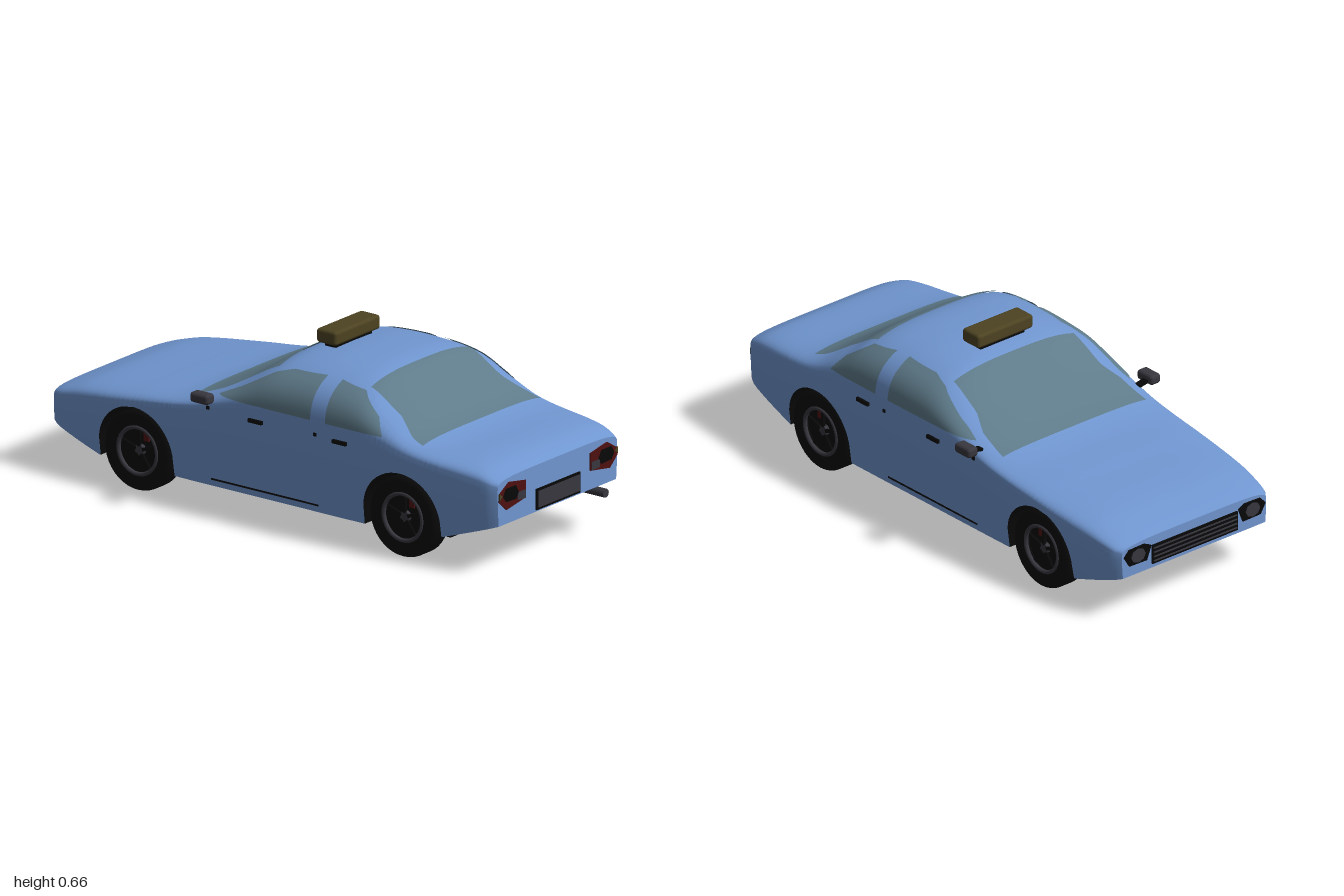
import * as THREE from 'three';
import { RoundedBoxGeometry } from 'three/addons/geometries/RoundedBoxGeometry.js';

const mat = (name, color, side = THREE.DoubleSide) => {
  const m = new THREE.MeshStandardMaterial({ color, side });
  m.name = name;
  return m;
};
const M = {
  paint: mat('blue paint', 0x7096d0),
  glass: mat('window glass', 0x5f7b8a),
  black: mat('black rubber', 0x080808),
  grey: mat('dark grey', 0x38373f),
  red: mat('dark red', 0x4d0f10),
  olive: mat('olive yellow', 0x4d4322),
};

// smooth interpolation through [position, value] points
function curve(points, smooth = true) {
  const n = points.length;
  const slope = points.map((p, i) => {
    const a = points[Math.max(i - 1, 0)], b = points[Math.min(i + 1, n - 1)];
    return (b[1] - a[1]) / (b[0] - a[0]);
  });
  return (z) => {
    if (z <= points[0][0]) return points[0][1];
    if (z >= points[n - 1][0]) return points[n - 1][1];
    let i = 0;
    while (z > points[i + 1][0]) i++;
    const [z0, a] = points[i], [z1, b] = points[i + 1], h = z1 - z0, t = (z - z0) / h;
    if (!smooth) return a + (b - a) * t;
    const t2 = t * t, t3 = t2 * t;
    return a * (2 * t3 - 3 * t2 + 1) + b * (3 * t2 - 2 * t3) + h * (slope[i] * (t3 - 2 * t2 + t) + slope[i + 1] * (t3 - t2));
  };
}

// body rules along z: the nose is at -z, the tail at +z
const roofY = curve([[-0.99, 0.293], [-0.94, 0.312], [-0.84, 0.34], [-0.6, 0.37], [-0.37, 0.402], [-0.2, 0.475],
  [-0.05, 0.568], [0.04, 0.59], [0.2, 0.597], [0.37, 0.576], [0.48, 0.503], [0.58, 0.44], [0.67, 0.413], [0.89, 0.388], [0.963, 0.355]]);
const beltY = curve([[-0.99, 0.25], [-0.6, 0.31], [-0.36, 0.35], [-0.15, 0.39], [0.4, 0.39], [0.63, 0.355], [0.963, 0.31]]);
const halfW = curve([[-0.99, 0.33], [-0.96, 0.349], [-0.8, 0.371], [-0.55, 0.382], [0, 0.384], [0.5, 0.382], [0.75, 0.37], [0.93, 0.35], [0.963, 0.335]]);
const floorY = curve([[-0.99, 0.17], [-0.77, 0.095], [-0.4, 0.088], [0.4, 0.088], [0.73, 0.105], [0.963, 0.185]], false);
const power = curve([[-0.99, 4.5], [-0.45, 4], [-0.2, 3], [0.45, 3], [0.7, 4], [0.963, 4.5]]);
const WHEELS = [0.565, -0.6], ARCH = 0.165;

function sillY(z) {
  let y = floorY(z);
  for (const c of WHEELS) {
    const d = Math.abs(z - c);
    if (d <= ARCH) y = Math.max(y, 0.145 + Math.sqrt(Math.max(0, ARCH * ARCH - d * d)));
  }
  return y;
}
function sideX(z, y) {
  const b = beltY(z), w = halfW(z);
  if (y <= b) return w * (1 - 0.06 * ((b - y) / (b - 0.08)) ** 2);
  const u = Math.min(1, (y - b) / (roofY(z) - b)), m = power(z);
  return w * (1 - u ** m) ** (1 / m);
}
function topY(z, x) {
  const m = power(z), b = beltY(z);
  return b + (roofY(z) - b) * (1 - Math.min(1, Math.abs(x) / halfW(z)) ** m) ** (1 / m);
}

// half section from sill to roof centre
function halfSection(z) {
  const pts = [], s = sillY(z), b = beltY(z), r = roofY(z), w = halfW(z), e = 2 / power(z);
  for (let i = 0; i < 8; i++) {
    const y = s + (b - s) * i / 8;
    pts.push([sideX(z, y), y]);
  }
  for (let i = 0; i <= 14; i++) {
    const a = Math.PI / 2 * i / 14;
    pts.push([w * Math.max(0, Math.cos(a)) ** e, b + (r - b) * Math.sin(a) ** e]);
  }
  return pts;
}

// surface from rows of [x, y, z] points
function sheet(rows) {
  const n = rows[0].length, index = [];
  for (let i = 0; i < rows.length - 1; i++) for (let j = 0; j < n - 1; j++) {
    const a = i * n + j, b = a + n;
    index.push(a, b, a + 1, b, b + 1, a + 1);
  }
  const g = new THREE.BufferGeometry();
  g.setAttribute('position', new THREE.Float32BufferAttribute(rows.flat(2), 3));
  g.setIndex(index);
  g.computeVertexNormals();
  return g;
}
const steps = (a, b, n, f) => Array.from({ length: n + 1 }, (_, i) => f(a + (b - a) * i / n));

export function createModel() {
  const car = new THREE.Group();
  car.name = 'car';
  const add = (name, geo, material, x = 0, y = 0, z = 0, parent = car) => {
    const m = new THREE.Mesh(geo, material);
    m.name = name;
    m.position.set(x, y, z);
    parent.add(m);
    return m;
  };
  const box = (name, w, h, d, material, x, y, z, parent) => add(name, new THREE.BoxGeometry(w, h, d), material, x, y, z, parent);

  // body shell with wheel arches
  const zs = steps(-0.99, 0.963, 90, (z) => z);
  for (const c of WHEELS) {
    zs.push(c - ARCH - 0.0005, c + ARCH + 0.0005);
    steps(0, Math.PI, 24, (a) => zs.push(c + ARCH * Math.cos(a)));
  }
  zs.sort((a, b) => a - b);
  const shell = zs.map((z) => {
    const h = halfSection(z);
    return [...h.map(([x, y]) => [x, y, z]), ...h.slice(0, -1).reverse().map(([x, y]) => [-x, y, z])];
  });
  add('bodyShell', sheet(shell), M.paint);
  for (const [name, z] of [['nosePanel', -0.99], ['tailPanel', 0.963]])
    add(name, sheet(halfSection(z).map(([x, y]) => [[x, y, z], [-x, y, z]])), M.paint);

  // black underside and floor
  add('underside', sheet(zs.map((z) => { const y = sillY(z), x = sideX(z, y); return [[x, y, z], [-x, y, z]]; })), M.black);
  box('floor', 0.5, 0.2, 1.42, M.black, 0, 0.168, -0.02);

  // windscreen and rear window
  const screen = (name, z0, z1, widths) => {
    const w = curve(widths, false);
    add(name, sheet(steps(z0, z1, 24, (z) => steps(-w(z), w(z), 24, (x) => [x, topY(z, x) + 0.005, z]))), M.glass);
  };
  screen('windscreen', -0.36, -0.04, [[-0.36, 0.328], [-0.24, 0.315], [-0.17, 0.282], [-0.04, 0.275]]);
  screen('rearWindow', 0.36, 0.63, [[0.36, 0.275], [0.5, 0.28], [0.58, 0.322], [0.63, 0.33]]);

  // side windows, handles, locks and sill lines
  const sideWindow = (name, s, z0, z1, tops) => {
    const t = curve(tops, false);
    add(name, sheet(steps(z0, z1, 24, (z) => steps(0.425, t(z), 10, (y) => [s * (sideX(z, y) + 0.004), y + 0.002, z]))), M.glass);
  };
  for (const s of [1, -1]) {
    const tag = s > 0 ? 'left' : 'right';
    sideWindow(tag + 'FrontWindow', s, -0.245, 0.18, [[-0.245, 0.426], [-0.15, 0.47], [-0.03, 0.538], [0.035, 0.556], [0.18, 0.563]]);
    sideWindow(tag + 'RearWindow', s, 0.245, 0.49, [[0.245, 0.561], [0.355, 0.547], [0.45, 0.48], [0.49, 0.426]]);
    for (const z of [0.31, -0.06]) box(tag + 'DoorHandle', 0.016, 0.013, 0.06, M.black, s * 0.386, 0.372, z);
    for (const z of [0.2, -0.27]) box(tag + 'DoorLock', 0.01, 0.012, 0.012, M.black, s * 0.383, 0.378, z);
    box(tag + 'SillLine', 0.006, 0.006, 0.47, M.black, s * 0.365, 0.114, -0.035);
    // door mirror
    add(tag + 'Mirror', new RoundedBoxGeometry(0.046, 0.037, 0.08, 3, 0.012), M.grey, s * 0.418, 0.424, -0.27);
    const arm = box(tag + 'MirrorArm', 0.045, 0.01, 0.025, M.black, s * 0.382, 0.416, -0.28);
    arm.rotation.z = s * 0.2;
  }

  // wheels
  const tyre = new THREE.LatheGeometry([[0.09, -0.04], [0.13, -0.045], [0.141, -0.04], [0.145, -0.03], [0.145, 0.03],
    [0.141, 0.04], [0.13, 0.045], [0.09, 0.04]].map(([r, y]) => new THREE.Vector2(r, y)), 40).rotateZ(-Math.PI / 2);
  const disc = (r, d, seg = 32) => new THREE.CylinderGeometry(r, r, d, seg).rotateZ(Math.PI / 2);
  for (const s of [1, -1]) for (const z of WHEELS) {
    const wheel = new THREE.Group();
    wheel.name = (z < 0 ? 'front' : 'rear') + (s > 0 ? 'Left' : 'Right') + 'Wheel';
    wheel.position.set(s * 0.32, 0.145, z);
    car.add(wheel);
    add('tyre', tyre, M.black, 0, 0, 0, wheel);
    add('brakeDisc', disc(0.092, 0.03), M.black, 0, 0, 0, wheel);
    add('rim', new THREE.TorusGeometry(0.085, 0.008, 8, 36).rotateY(Math.PI / 2), M.grey, s * 0.037, 0, 0, wheel);
    add('hub', disc(0.02, 0.02, 16), M.grey, s * 0.02, 0, 0, wheel);
    box('brakeCaliper', 0.01, 0.03, 0.022, M.red, s * 0.017, 0.05, 0.025, wheel);
    for (let i = 0; i < 5; i++) {
      const a = i * Math.PI * 2 / 5;
      const spoke = box('spoke', 0.01, 0.07, 0.012, M.black, s * 0.028, 0.05 * Math.cos(a), 0.05 * Math.sin(a), wheel);
      spoke.rotation.x = a;
    }
  }

  // flat plates for lamps
  const plate = (name, pts, s, z, material) => add(name, new THREE.ExtrudeGeometry(
    new THREE.Shape(pts.map(([x, y]) => new THREE.Vector2(s * x, y))), { depth: 0.006, bevelEnabled: false }), material, 0, 0, z);
  for (const s of [1, -1]) {
    plate('tailLamp', [[0.18, 0.318], [0.275, 0.335], [0.33, 0.302], [0.332, 0.275], [0.29, 0.237], [0.18, 0.255]], s, 0.961, M.red);
    plate('tailLampCentre', [[0.225, 0.288], [0.24, 0.315], [0.295, 0.315], [0.31, 0.29], [0.295, 0.268], [0.24, 0.265]], s, 0.964, M.black);
    plate('reversingLamp', [[0.185, 0.254], [0.23, 0.257], [0.23, 0.285], [0.185, 0.285]], s, 0.963, M.grey);
    plate('indicator', [[0.315, 0.293], [0.33, 0.305], [0.332, 0.28]], s, 0.964, M.olive);
    plate('headlampHousing', [[0.2, 0.262], [0.23, 0.276], [0.3, 0.274], [0.323, 0.25], [0.3, 0.212], [0.22, 0.21]], s, -0.996, M.black);
    const lens = add('headlampLens', new THREE.CylinderGeometry(0.026, 0.026, 0.008, 8).rotateX(Math.PI / 2), M.grey, s * 0.262, 0.243, -0.996);
    lens.scale.x = 1.25;
  }

  // grille
  box('grille', 0.39, 0.072, 0.008, M.black, 0, 0.222, -0.992);
  for (let i = 0; i < 4; i++) box('grilleBar', 0.38, 0.005, 0.008, M.grey, 0, 0.197 + i * 0.0165, -0.995);

  // number plate and exhaust
  box('plateFrame', 0.246, 0.076, 0.008, M.black, 0, 0.23, 0.965);
  box('plate', 0.23, 0.06, 0.008, M.grey, 0, 0.23, 0.967);
  add('exhaust', new THREE.CylinderGeometry(0.016, 0.016, 0.14, 12).rotateX(Math.PI / 2), M.grey, 0.225, 0.168, 0.93);

  // roof sign
  box('signBase', 0.2, 0.02, 0.05, M.black, 0, 0.6, 0.045);
  add('roofSign', new RoundedBoxGeometry(0.254, 0.052, 0.088, 3, 0.012), M.olive, 0, 0.631, 0.045);
  return car;
}
